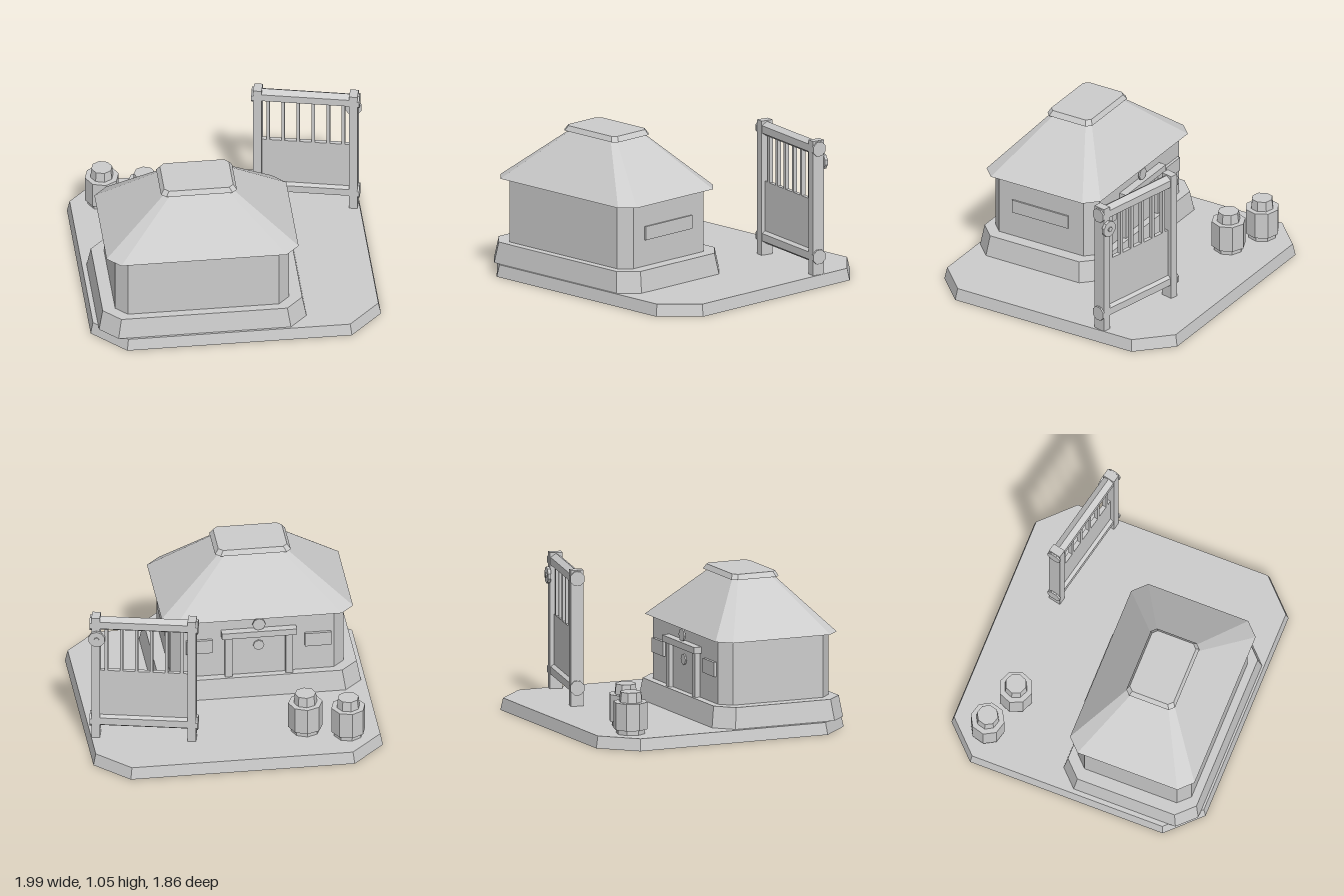
import * as THREE from 'three';

const stone = new THREE.MeshStandardMaterial({ color: 0xcccccc, side: THREE.DoubleSide });
stone.name = 'plain stone';

function add(parent, name, geometry, x = 0, y = 0, z = 0) {
  const flat = geometry.index ? geometry.toNonIndexed() : geometry;
  flat.computeVertexNormals();
  const mesh = new THREE.Mesh(flat, stone);
  mesh.name = name;
  mesh.position.set(x, y, z);
  parent.add(mesh);
  return mesh;
}

const box = (w, h, d) => new THREE.BoxGeometry(w, h, d);
const prism = (top, bottom, h, sides = 8) => new THREE.CylinderGeometry(top, bottom, h, sides);

// Shell between rectangles with cut corners; each ring is [y, halfX, halfZ, cut].
// The top is always capped, the underside only when asked for.
function loft(rings, closedBelow = false) {
  const loops = rings.map(([y, w, d, c]) => [
    [w, d - c], [w, c - d], [w - c, -d], [c - w, -d],
    [-w, c - d], [-w, d - c], [c - w, d], [w - c, d],
  ].map(([x, z]) => [x, y, z]));
  const points = [];
  for (let r = 0; r + 1 < loops.length; r++) {
    for (let i = 0; i < 8; i++) {
      const j = (i + 1) % 8;
      const [a, b, c, d] = [loops[r][i], loops[r][j], loops[r + 1][j], loops[r + 1][i]];
      points.push(...a, ...b, ...c, ...a, ...c, ...d);
    }
  }
  const low = loops[0], high = loops[loops.length - 1];
  for (let i = 1; i < 7; i++) {
    points.push(...high[0], ...high[i], ...high[i + 1]);
    if (closedBelow) points.push(...low[0], ...low[i + 1], ...low[i]);
  }
  const geometry = new THREE.BufferGeometry();
  geometry.setAttribute('position', new THREE.Float32BufferAttribute(points, 3));
  return geometry;
}

function makeHouse() {
  const house = new THREE.Group();
  house.name = 'house';
  house.position.set(-0.24, 0, 0.406);
  add(house, 'plinth', loft([[0.083, 0.71, 0.492, 0.12], [0.228, 0.683, 0.47, 0.115]]));
  add(house, 'walls', loft([[0.228, 0.596, 0.415, 0.078], [0.672, 0.596, 0.415, 0.078]]));
  add(house, 'roof', loft([[0.67, 0.657, 0.455, 0.09], [1.02, 0.226, 0.156, 0.03]], true));
  add(house, 'roofCap', loft([[1.02, 0.26, 0.178, 0.033], [1.055, 0.236, 0.16, 0.03]], true));
  add(house, 'sidePanel', box(0.02, 0.095, 0.447), 0.597, 0.458, 0.005);

  // Doorway on the rear wall
  const wall = -0.415;
  add(house, 'door', box(0.38, 0.31, 0.016), 0, 0.383, wall);
  for (const side of [-1, 1]) {
    add(house, 'doorPost', box(0.05, 0.31, 0.045), side * 0.208, 0.383, wall - 0.015);
    add(house, 'rearPlate', box(0.18, 0.1, 0.03), side * 0.408, 0.465, wall - 0.005);
  }
  add(house, 'lintel', box(0.515, 0.045, 0.06), 0, 0.557, wall - 0.026);
  add(house, 'doorDisc', prism(0.038, 0.038, 0.02).rotateX(Math.PI / 2), 0, 0.45, wall - 0.008);
  add(house, 'lintelDisc', prism(0.045, 0.045, 0.012).rotateX(Math.PI / 2), 0, 0.62, wall - 0.025);
  return house;
}

function makeGate() {
  const gate = new THREE.Group();
  gate.name = 'gate';
  gate.position.set(0.614, 0, -0.508);
  gate.rotation.y = -0.22;
  for (const side of [-1, 1]) {
    add(gate, 'gatePost', box(0.058, 0.942, 0.088), side * 0.328, 0.554, 0);
  }
  // Six-sided rails, ridge upwards, passing through both posts
  for (const y of [0.21, 0.967]) {
    const rail = prism(0.052, 0.052, 0.73, 6).rotateY(Math.PI / 2).rotateZ(Math.PI / 2);
    add(gate, 'gateRail', rail.scale(1, 1, 0.87), 0, y, 0);
    for (const side of [-1, 1]) {
      const cap = prism(0.053, 0.053, 0.015).rotateY(Math.PI / 8).rotateZ(Math.PI / 2);
      add(gate, 'railEnd', cap, side * 0.362, y, 0);
    }
  }
  add(gate, 'gatePanel', box(0.61, 0.39, 0.03), 0, 0.405, 0);
  for (let i = 0; i < 6; i++) {
    add(gate, 'gateBar', box(0.022, 0.35, 0.03), -0.257 + i * 0.1028, 0.765, 0);
  }
  // Round boss on the rear of one post
  add(gate, 'postDisc', prism(0.058, 0.058, 0.022, 10).rotateX(Math.PI / 2), 0.32, 0.868, -0.053);
  add(gate, 'postStud', prism(0.018, 0.018, 0.01).rotateX(Math.PI / 2), 0.32, 0.868, -0.067);
  return gate;
}

function makeJar(x, z, turn) {
  const jar = new THREE.Group();
  jar.name = 'jar';
  jar.position.set(x, 0, z);
  jar.rotation.y = turn;
  add(jar, 'jarFoot', prism(0.1, 0.1, 0.035), 0, 0.1, 0);
  add(jar, 'jarBody', prism(0.118, 0.118, 0.187), 0, 0.209, 0);
  add(jar, 'jarLid', prism(0.073, 0.08, 0.07), 0, 0.337, 0);
  return jar;
}

export function createModel() {
  const model = new THREE.Group();
  model.name = 'gatehouse';
  add(model, 'base', loft([[0, 0.994, 0.929, 0.225], [0.083, 0.977, 0.913, 0.218]]), -0.005);
  model.add(makeHouse(), makeGate(), makeJar(-0.765, -0.668, 0.12), makeJar(-0.484, -0.572, 0));
  return model;
}
